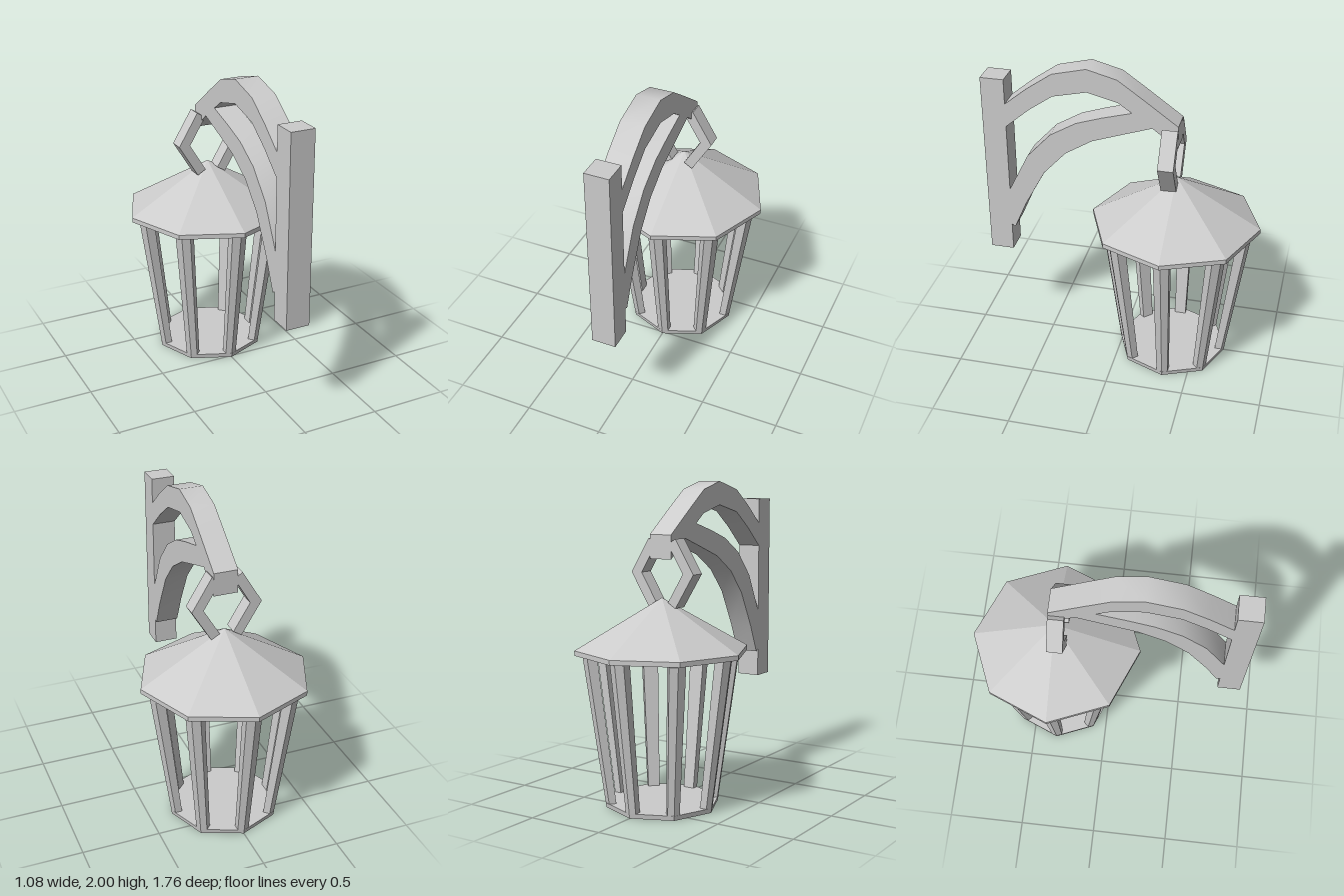
import * as THREE from 'three';
import { toCreasedNormals } from 'three/addons/utils/BufferGeometryUtils.js';

const LANTERN_Z = -0.34;
const ARM_WIDTH = 0.154;

export function createModel() {
  const model = new THREE.Group();
  model.name = 'wallLantern';
  const flat = new THREE.MeshStandardMaterial({ color: 0xcccccc, flatShading: true });
  const smooth = new THREE.MeshStandardMaterial({ color: 0xcccccc });

  const add = (parent, name, geometry, material = flat) => {
    const mesh = new THREE.Mesh(geometry, material);
    mesh.name = name;
    parent.add(mesh);
    return mesh;
  };
  // Straight extrusion of an outline, centred on its depth
  const slab = (points, depth) => {
    const shape = new THREE.Shape(points.map(([x, y]) => new THREE.Vector2(x, y)));
    return new THREE.ExtrudeGeometry(shape, { depth, bevelEnabled: false }).translate(0, 0, -depth / 2);
  };

  // Wall post
  add(model, 'wallPost', new THREE.BoxGeometry(ARM_WIDTH, 1.22, 0.15)).position.set(0, 1.268, 0.805);

  // Forked arm: upper arch and lower brace, outlined in (z, y)
  const upperTop = [[0.76, 1.69], [0.583, 1.835], [0.425, 1.946], [0.21, 2], [0.02, 1.95], [-0.14, 1.838], [-0.355, 1.683]];
  const lowerBottom = [[-0.355, 1.535], [-0.196, 1.656], [-0.016, 1.594], [0.18, 1.525], [0.352, 1.418], [0.495, 1.262], [0.625, 1.02], [0.708, 0.83]];
  const lowerTop = [[0.76, 0.865], [0.76, 1.05], [0.6, 1.37], [0.448, 1.535], [0.28, 1.635], [0.117, 1.69]];
  const upperBottom = [[-0.07, 1.743], [0.016, 1.802], [0.21, 1.85], [0.424, 1.8], [0.577, 1.692], [0.76, 1.535]];
  const arm = slab([...upperTop, ...lowerBottom, ...lowerTop, ...upperBottom], ARM_WIDTH).rotateY(-Math.PI / 2);
  add(model, 'forkedArm', toCreasedNormals(arm, 0.7), smooth);

  // Two bent links hanging the lantern from the arm
  for (const side of [1, -1]) {
    const link = [[0.225, 1.45], [0.097, 1.66], [0.043, 1.627], [0.15, 1.45], [0.043, 1.273], [0.097, 1.24]]
      .map(([x, y]) => [side * x - 0.01, y]);
    add(model, side > 0 ? 'leftLink' : 'rightLink', slab(link, 0.098)).position.z = -0.305;
  }

  const lantern = new THREE.Group();
  lantern.name = 'lantern';
  lantern.position.z = LANTERN_Z;
  model.add(lantern);

  // Eight-sided roof with a thin eave and a closed underside
  const roof = [[0, 0.96], [0.54, 0.96], [0.54, 0.99], [0, 1.3]].map(([r, y]) => new THREE.Vector2(r, y));
  add(lantern, 'roof', new THREE.LatheGeometry(roof, 8));

  // Floor plate
  add(lantern, 'floor', new THREE.CylinderGeometry(0.36, 0.355, 0.03, 8)).position.y = 0.015;

  // Corner bars: five-sided section tapering towards the lantern axis
  const barBottom = 0.02, barTop = 0.95;
  const section = [[0, 0.49], [-0.05, 0.469], [-0.05, 0.408], [0.05, 0.408], [0.05, 0.469]];
  const bar = slab(section, barTop - barBottom).rotateX(Math.PI / 2).translate(0, (barTop + barBottom) / 2, 0);
  const p = bar.attributes.position;
  for (let i = 0; i < p.count; i++) {
    const k = p.getY(i) > 0.5 ? 1 : 0.73;
    p.setX(i, p.getX(i) * k);
    p.setZ(i, p.getZ(i) * k);
  }
  bar.computeVertexNormals();
  for (let i = 0; i < 8; i++) add(lantern, 'cornerBar', bar).rotation.y = (i * Math.PI) / 4;

  return model;
}
